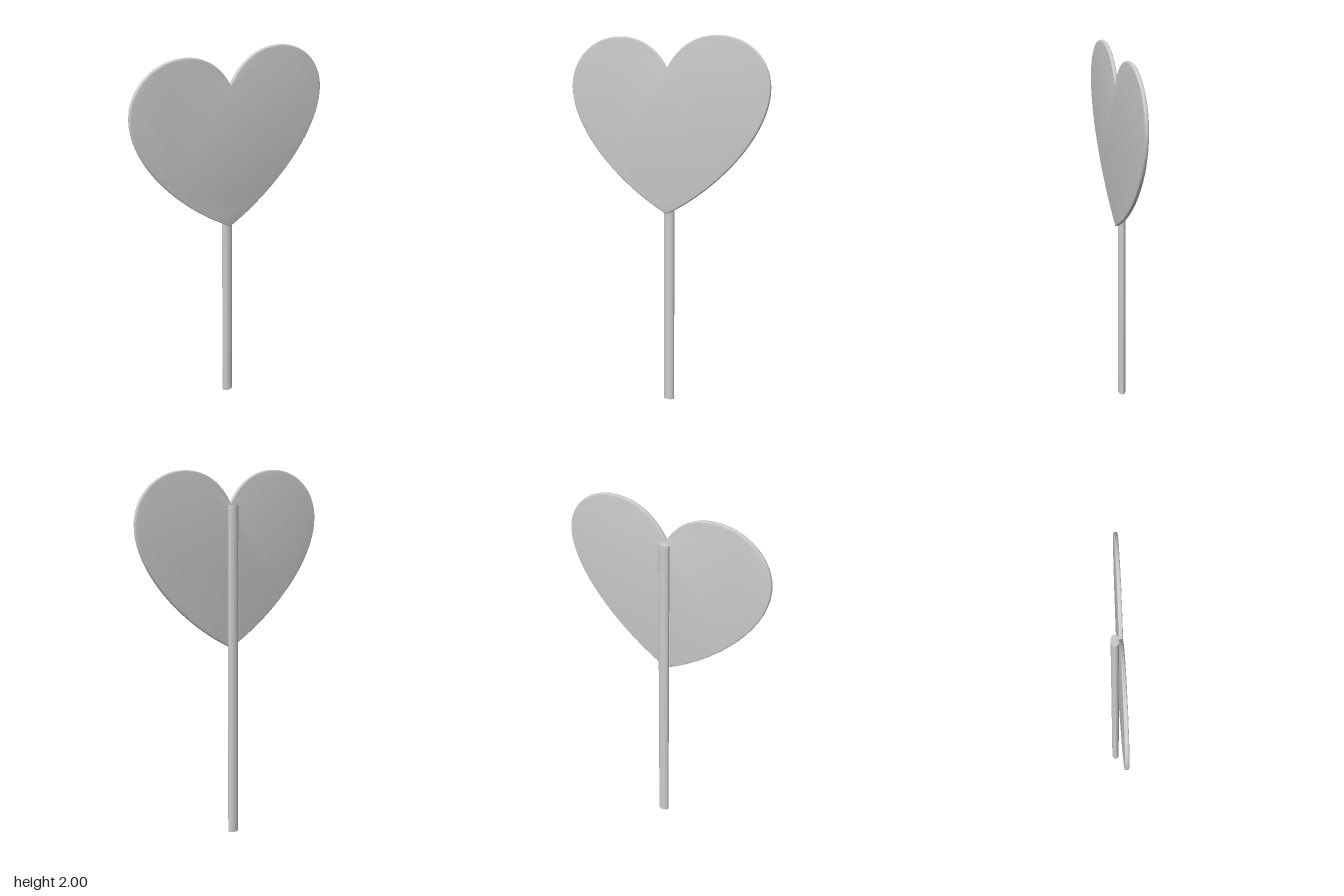
import * as THREE from 'three';
import { toCreasedNormals } from 'three/addons/utils/BufferGeometryUtils.js';

export function createModel() {
  const group = new THREE.Group();
  const material = new THREE.MeshStandardMaterial({ color: 0xcccccc });

  // Heart outline: right half down to the tip, then the mirrored left half
  const shape = new THREE.Shape();
  shape.moveTo(0, 1.83);
  shape.bezierCurveTo(0.06, 1.94, 0.16, 2.0, 0.28, 2.0);
  shape.bezierCurveTo(0.45, 2.0, 0.577, 1.88, 0.577, 1.73);
  shape.bezierCurveTo(0.577, 1.48, 0.27, 1.19, 0, 1.055);
  shape.bezierCurveTo(-0.27, 1.19, -0.577, 1.48, -0.577, 1.73);
  shape.bezierCurveTo(-0.577, 1.88, -0.45, 2.0, -0.28, 2.0);
  shape.bezierCurveTo(-0.16, 2.0, -0.06, 1.94, 0, 1.83);

  // Thin heart plate with softly rounded rim
  const bevel = 0.006;
  const heartGeometry = new THREE.ExtrudeGeometry(shape, {
    depth: 0.008, curveSegments: 24,
    bevelEnabled: true, bevelThickness: bevel, bevelSize: bevel, bevelOffset: -bevel, bevelSegments: 3,
  });
  heartGeometry.translate(0, 0, 0.009 + bevel - 0.001);
  const heart = new THREE.Mesh(toCreasedNormals(heartGeometry, 0.7), material);
  heart.name = 'heart';
  group.add(heart);

  // Oval stick running up behind the heart
  const stickGeometry = new THREE.CylinderGeometry(1, 1, 1.82, 32);
  stickGeometry.scale(0.03, 1, 0.0205);
  stickGeometry.translate(0, 0.91, -0.009);
  const stick = new THREE.Mesh(stickGeometry, material);
  stick.name = 'stick';
  group.add(stick);

  return group;
}
